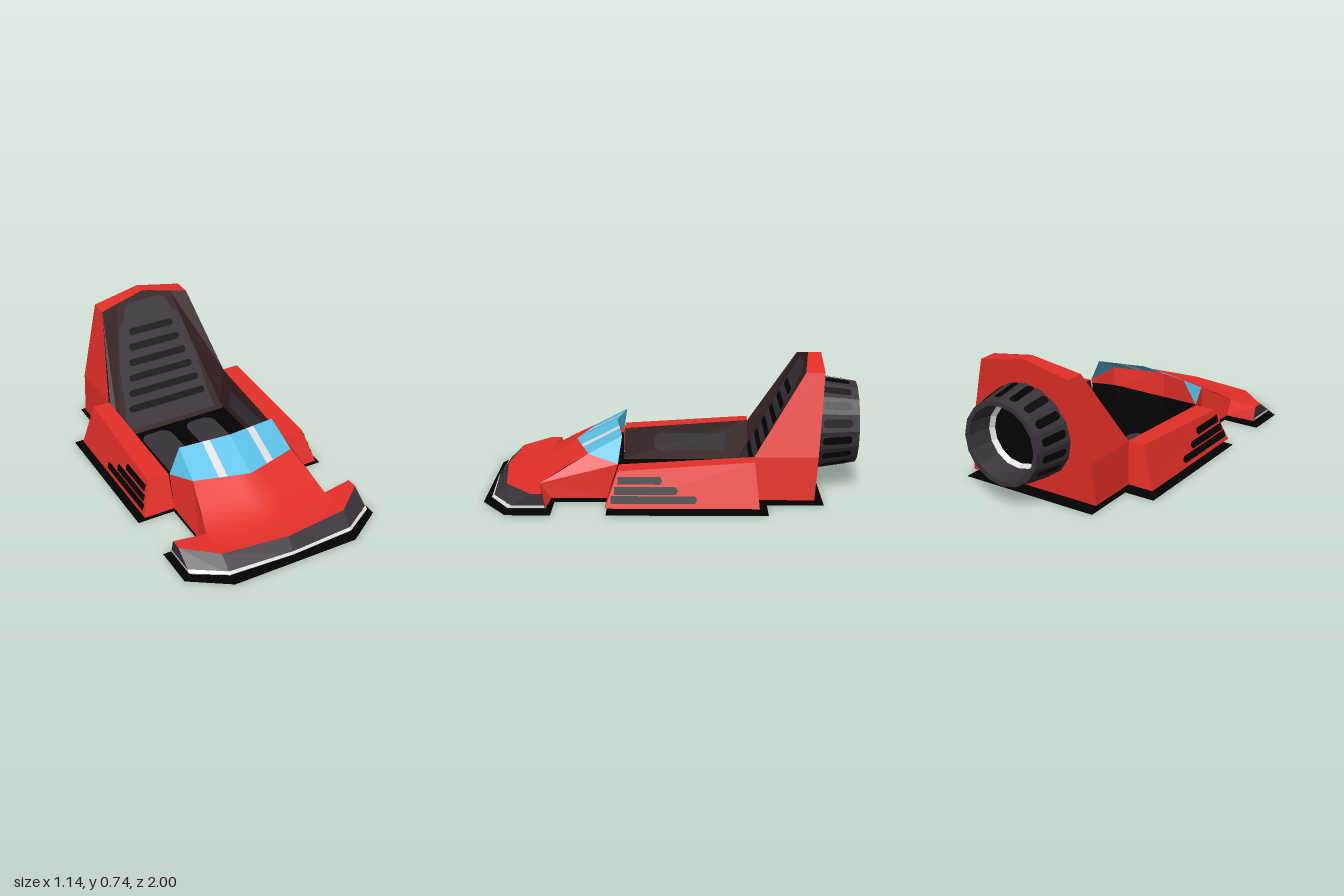
import * as THREE from 'three';

const mat = (name, color) => new THREE.MeshStandardMaterial({ name, color, side: THREE.DoubleSide });

// Flat-sided mesh from a list of polygons, each fanned from its first corner
function faces(name, material, polys) {
  const pos = [];
  for (const p of polys)
    for (let i = 1; i < p.length - 1; i++) pos.push(...p[0], ...p[i], ...p[i + 1]);
  const g = new THREE.BufferGeometry();
  g.setAttribute('position', new THREE.Float32BufferAttribute(pos, 3));
  g.computeVertexNormals();
  const m = new THREE.Mesh(g, material);
  m.name = name;
  return m;
}

// Polygons plus their mirror images across x = 0
const mirrored = polys => polys.concat(polys.map(p => p.map(([x, y, z]) => [-x, y, z]).reverse()));
const lerp = (a, b, f) => a.map((v, i) => v + (b[i] - v) * f);

function roundedRect(w, h, r) {
  const s = new THREE.Shape(), a = w / 2 - r, b = h / 2 - r;
  s.absarc(a, b, r, 0, Math.PI / 2);
  s.absarc(-a, b, r, Math.PI / 2, Math.PI);
  s.absarc(-a, -b, r, Math.PI, Math.PI * 1.5);
  s.absarc(a, -b, r, Math.PI * 1.5, Math.PI * 2);
  return new THREE.ShapeGeometry(s, 5);
}

export function createModel() {
  const root = new THREE.Group();
  root.name = 'racer';
  const red = mat('body red', 0xe52f28);
  const dark = mat('charcoal', 0x39323a);
  const brown = mat('cockpit brown', 0x341f1e);
  const black = mat('black', 0x020202);
  const blue = mat('windshield blue', 0x5bc0e6);
  const pale = mat('pale grey', 0xdcdcdc);
  const add = (name, material, polys) => root.add(faces(name, material, polys));
  const place = (parent, name, geo, material, x, y, z) => {
    const m = new THREE.Mesh(geo, material);
    m.name = name;
    m.position.set(x, y, z);
    parent.add(m);
    return m;
  };

  // Floor plate, stepped outline
  const half = [[0.36, 1], [0.57, 0.86], [0.57, 0.625], [0.36, 0.625], [0.36, 0.34],
    [0.57, 0.34], [0.57, -0.5], [0.4, -0.5], [0.4, -0.8]];
  const outline = half.concat(half.map(([x, z]) => [-x, z]).reverse());
  const floorGeo = new THREE.ShapeGeometry(new THREE.Shape(outline.map(([x, z]) => new THREE.Vector2(x, -z))));
  floorGeo.rotateX(-Math.PI / 2);
  place(root, 'floorPlate', floorGeo, black, 0, 0, 0);

  // Cockpit floor and its pads
  add('cockpitFloor', black, mirrored([[[0, 0.025, 0.6], [0.36, 0.025, 0.6], [0.36, 0.025, -0.42], [0, 0.025, -0.42]]]));
  for (const s of [-1, 1]) {
    const pad = place(root, 'floorPad', roundedRect(0.185, 0.455, 0.06), dark, s * 0.142, 0.031, -0.102);
    pad.rotation.x = -Math.PI / 2;
  }

  // Hood: smooth loft, dished towards the bumper
  const rows = [
    t => [0.3 * t, 0.25, 0.53 - 0.085 * t],
    t => [0.33 * t, 0.178 + 0.002 * t, 0.645 - 0.07 * t],
    t => [0.36 * t, 0.11 - 0.005 * t, 0.765 - 0.065 * t],
    t => [0.365 * t, 0.105, 0.915 - 0.042 * t],
  ];
  const cols = 8, hoodPos = [], hoodIdx = [];
  rows.forEach((row, r) => {
    for (let c = 0; c <= cols; c++) {
      const s = c / cols * 2 - 1, p = row(Math.abs(s));
      hoodPos.push(Math.sign(s) * p[0], p[1], p[2]);
      if (r && c) {
        const i = r * (cols + 1) + c, u = i - cols - 1;
        hoodIdx.push(u - 1, i - 1, i, u - 1, i, u);
      }
    }
  });
  const hoodGeo = new THREE.BufferGeometry();
  hoodGeo.setAttribute('position', new THREE.Float32BufferAttribute(hoodPos, 3));
  hoodGeo.setIndex(hoodIdx);
  hoodGeo.computeVertexNormals();
  place(root, 'hood', hoodGeo, red, 0, 0, 0);

  // Bumper edges, top and bottom, from the centre out to the wing tip
  const top = [[0, 0.105, 0.915], [0.365, 0.105, 0.873], [0.535, 0.105, 0.73], [0.535, 0.105, 0.67]];
  const low = [[0, 0.025, 0.972], [0.36, 0.025, 0.955], [0.535, 0.025, 0.85], [0.535, 0.025, 0.65]];
  const out = p => [p[0] * 1.006, p[1], p[2] + 0.004];
  const bumper = [], stripe = [];
  for (let i = 0; i < 3; i++) {
    bumper.push([top[i], low[i], low[i + 1], top[i + 1]]);
    const at = (k, f) => out(lerp(top[k], low[k], f));
    stripe.push([at(i, 0.79), at(i, 0.95), at(i + 1, 0.95), at(i + 1, 0.79)]);
  }
  add('bumper', dark, mirrored(bumper));
  add('bumperStripe', pale, mirrored(stripe));

  // Front wings and nose sides
  const root0 = [0.36, 0.105, 0.7], rootLow = [0.365, 0.025, 0.64];
  add('frontWings', red, mirrored([
    [root0, top[1], top[2], top[3]],
    [root0, top[3], low[3], rootLow],
  ]));
  const glassFoot = [0.355, 0.21, 0.285], glassFront = [0.3, 0.25, 0.445];
  add('noseSides', red, mirrored([
    [root0, rootLow, [0.36, 0.025, 0.345], glassFoot, glassFront],
  ]));

  // Dashboard under the windshield, black footwell below it
  const d0 = [0, 0.1, 0.525], d1 = [0.295, 0.14, 0.44], d2 = [0.35, 0.19, 0.29];
  const drop = ([x, , z]) => [x, 0.025, z];
  add('dashboard', red, mirrored([
    [[0, 0.25, 0.53], glassFront, d1, d0],
    [glassFront, glassFoot, d2, d1],
  ]));
  add('footwell', black, mirrored([[d0, d1, drop(d1), drop(d0)], [d1, d2, drop(d2), drop(d1)]]));

  // Windshield in bands: glass, pale strip, glass, side pane
  const gl = t => [0.3 * t, 0.25, 0.53 - 0.085 * t];
  const gu = t => [0.285 * t, 0.36 - 0.014 * t, 0.305 - 0.04 * t];
  const band = (a, b) => [gl(a), gl(b), gu(b), gu(a)];
  add('windshield', blue, mirrored([band(0, 0.4), band(0.55, 1), [glassFront, glassFoot, gu(1)]]));
  add('windshieldStrips', pale, mirrored([band(0.4, 0.55)]));

  // Side pods with cockpit lining and its padded panel
  const pf = [[0.36, 0.025, 0.345], [0.535, 0.025, 0.345], [0.48, 0.21, 0.28], [0.358, 0.21, 0.28]];
  const pr = [[0.375, 0.025, -0.455], [0.535, 0.025, -0.455], [0.47, 0.257, -0.43], [0.372, 0.257, -0.43]];
  add('sidePods', red, mirrored([
    pf, [...pr].reverse(),
    [pf[1], pr[1], pr[2], pf[2]],
    [pf[2], pr[2], pr[3], pf[3]],
  ]));
  add('cockpitLining', brown, mirrored([[pf[3], pr[3], [0.35, 0.025, -0.43], [0.35, 0.025, 0.29]]]));
  add('liningPanel', dark, mirrored([[[0.343, 0.08, -0.3], [0.343, 0.08, 0.08], [0.345, 0.1, 0.11],
    [0.348, 0.165, 0.11], [0.349, 0.185, 0.08], [0.349, 0.185, -0.3]]]));

  // Pod vents
  const vents = [[0.165, 0.06], [0.115, -0.02], [0.07, -0.12]].map(([y, back]) => {
    const pt = (yy, z) => [0.541 - 0.3 * (yy - 0.025), yy, z];
    const front = 0.33 - 0.35 * (y - 0.025);
    return [pt(y - 0.019, front), pt(y - 0.019, back), pt(y, back - 0.012), pt(y + 0.019, back), pt(y + 0.019, front)];
  });
  add('podVents', black, mirrored(vents));

  // Rear fin shell
  const ff = [[0.39, 0.025, -0.455], [0.375, 0.255, -0.43], [0.27, 0.685, -0.7], [0, 0.74, -0.735]];
  const fb = [[0.39, 0.025, -0.75], [0.375, 0.255, -0.768], [0.27, 0.685, -0.802], [0, 0.74, -0.806]];
  const fin = [[fb[3], fb[2], fb[1], fb[0], [0, 0.025, -0.75]]];
  for (let i = 0; i < 3; i++) fin.push([ff[i], fb[i], fb[i + 1], ff[i + 1]]);
  add('rearFin', red, mirrored(fin));

  // Seat back: steep centre panel with flanks that wrap forward to the fin edges
  const slope = 0.503, seatFoot = -0.375;
  const onSeat = (x, y) => [x, y, seatFoot - slope * (y - 0.025)];
  const inTop = onSeat(0.17, 0.706), inLow = onSeat(0.34, 0.025);
  add('seatBack', brown, mirrored([
    [ff[3], onSeat(0, 0.025), inLow, inTop],
    [inTop, inLow, [0.372, 0.025, -0.4], ff[1], ff[2]],
  ]));

  // Seat pad and slots lie on the leaning centre panel
  const seat = new THREE.Group();
  const lean = Math.atan(slope), up = y => (y - 0.025) / Math.cos(lean);
  seat.name = 'seat';
  seat.position.set(0, 0.025, seatFoot);
  seat.rotation.x = -lean;
  root.add(seat);
  const edge = [[0.285, 0.05], [0.265, 0.175], [0.247, 0.36], [0.197, 0.57], [0.185, 0.59],
    [0.15, 0.615], [0.145, 0.645], [0.125, 0.68], [0.1, 0.695]];
  const padPts = edge.concat(edge.map(([x, y]) => [-x, y]).reverse()).map(([x, y]) => new THREE.Vector2(x, up(y)));
  place(seat, 'seatPad', new THREE.ShapeGeometry(new THREE.Shape(padPts)), dark, 0, 0, 0.006);
  for (let i = 0; i < 6; i++)
    place(seat, 'seatSlot', roundedRect(0.28 + 0.042 * i, 0.04, 0.019), black, 0, up(0.547 - 0.078 * i), 0.011);

  // Engine nozzle: faceted funnel with slots, pale inner ring and dark core
  const engine = new THREE.Group();
  engine.name = 'engine';
  engine.position.y = 0.355;
  engine.rotation.x = -Math.PI / 2;
  root.add(engine);
  const lathe = (name, material, pts) => {
    const g = new THREE.LatheGeometry(pts.map(p => new THREE.Vector2(...p)), 16).toNonIndexed();
    g.computeVertexNormals();
    place(engine, name, g, material, 0, 0, 0);
  };
  lathe('nozzle', dark, [[0.265, 0.74], [0.225, 1], [0.2, 1], [0.178, 0.87]]);
  lathe('nozzleRing', pale, [[0.178, 0.87], [0.16, 0.845]]);
  lathe('nozzleCore', black, [[0.16, 0.845], [0, 0.845]]);
  for (let i = 0; i < 16; i++) {
    const holder = new THREE.Group();
    holder.name = 'nozzleSlotHolder';
    holder.rotation.y = (i + 0.5) * Math.PI / 8;
    engine.add(holder);
    place(holder, 'nozzleSlot', roundedRect(0.044, 0.16, 0.02), black, 0, 0.882, 0.2425).rotation.x = -0.15;
  }
  return root;
}
